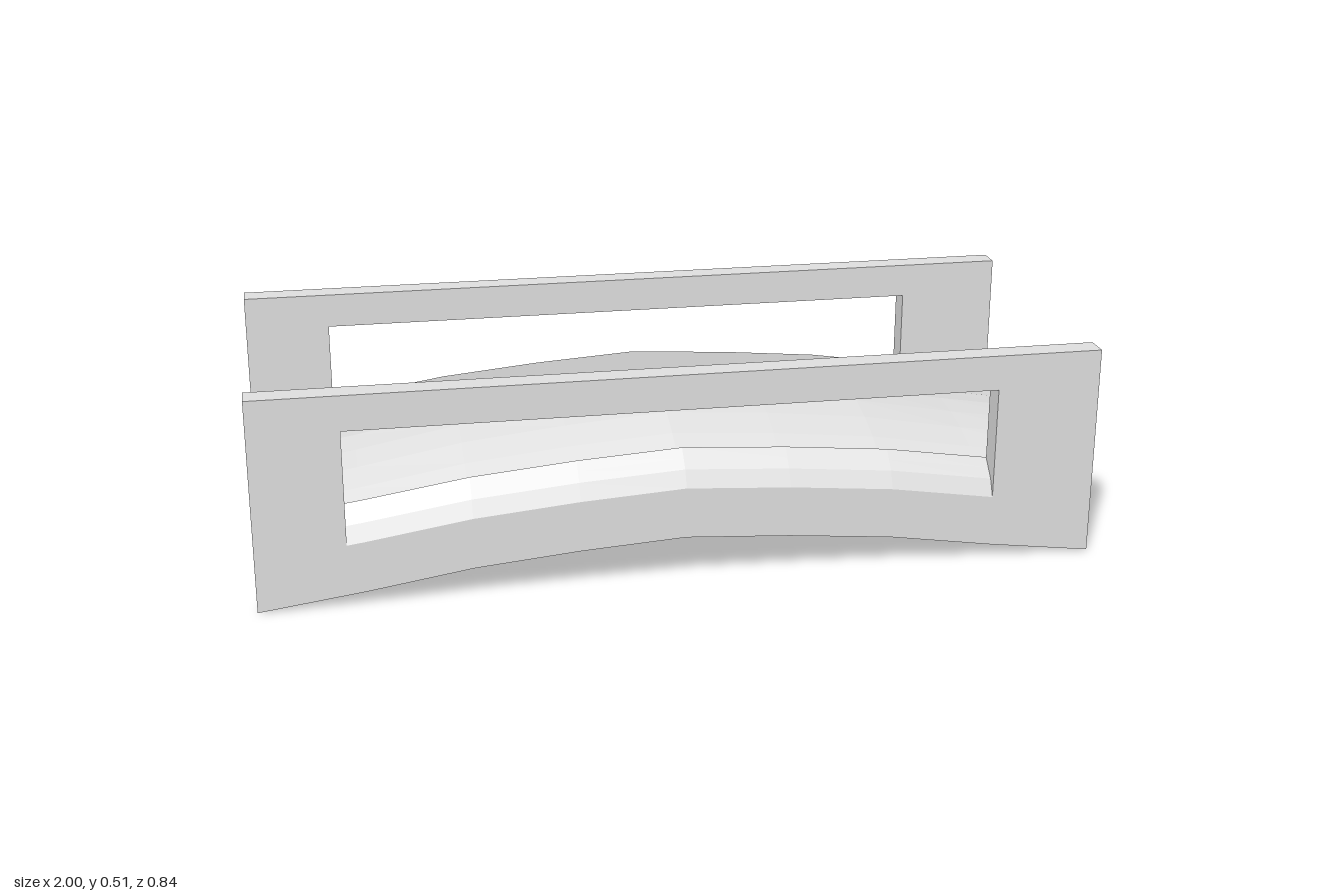
import * as THREE from 'three';

// Height of the long arch, as a fraction: 1 at mid-span, 0 at the ends
const STATIONS = [-1, -0.75, -0.5, -0.25, 0, 0.25, 0.5, 0.75, 1];
const RISE = [0, 0.3, 0.65, 0.86, 1, 0.86, 0.65, 0.3, 0];
function rise(x) {
  for (let i = 0; i < STATIONS.length - 1; i++) {
    if (x <= STATIONS[i + 1]) {
      const t = (x - STATIONS[i]) / (STATIONS[i + 1] - STATIONS[i]);
      return THREE.MathUtils.lerp(RISE[i], RISE[i + 1], t);
    }
  }
  return 0;
}

// The middle of the deck lifts a little more than its edges
const lift = (x, z) => rise(x) * (0.14 - 0.07 * Math.abs(z));

// Cross-section of the deck top at the ends: [z, y]
const HALF = [[0, 0.22], [0.083, 0.215], [0.163, 0.203], [0.238, 0.182], [0.305, 0.155], [0.36, 0.12]];
const ARCH = [...HALF.slice(1).reverse().map(([z, y]) => [-z, y]), ...HALF];
const RIM = 0.04;

// Flat-shaded sheet through rows of points
function sheet(rows) {
  const pos = [];
  for (let r = 0; r < rows.length - 1; r++) {
    for (let i = 0; i < rows[r].length - 1; i++) {
      const a = rows[r][i], b = rows[r][i + 1], c = rows[r + 1][i + 1], d = rows[r + 1][i];
      pos.push(...a, ...b, ...c, ...a, ...c, ...d);
    }
  }
  const geo = new THREE.BufferGeometry();
  geo.setAttribute('position', new THREE.Float32BufferAttribute(pos, 3));
  geo.computeVertexNormals();
  return geo;
}

// Hollow side wall, open at the foot, with a long window above a sloping sill
function wallGeometry(zStart) {
  const WALL_TOP = 0.515, LEFT = -0.79, RIGHT = 0.75, SILL = 0.124;
  const foot = x => lift(x, 0.42);
  const shape = new THREE.Shape();
  STATIONS.forEach((x, i) => {
    if (i) shape.lineTo(x, foot(x)); else shape.moveTo(x, foot(x));
  });
  shape.lineTo(1, WALL_TOP);
  shape.lineTo(-1, WALL_TOP);
  shape.closePath();

  const hole = new THREE.Path();
  hole.moveTo(LEFT, 0.43);
  for (const x of [LEFT, ...STATIONS.slice(1, -1)]) hole.lineTo(x, foot(x) + SILL);
  hole.lineTo(RIGHT, 0.43);
  hole.closePath();
  shape.holes.push(hole);

  const solid = new THREE.ExtrudeGeometry(shape, { depth: 0.06, steps: 3, bevelEnabled: false });
  solid.translate(0, 0, zStart);
  const p = solid.attributes.position;
  const pos = [];
  for (let i = 0; i < p.count; i += 3) {
    const tri = [0, 1, 2].map(k => [p.getX(i + k), p.getY(i + k), p.getZ(i + k)]);
    // Leave the underside of the foot open
    const crossesWall = tri.some(v => Math.abs(v[2] - tri[0][2]) > 0.001);
    if (crossesWall && tri.every(v => v[1] < 0.12)) continue;
    for (const [x, y, zSigned] of tri) {
      // Foot and sill curve up towards the deck
      const z = Math.abs(zSigned);
      const up = z > 0.4 ? (0.42 - z) * 2 : 0.04 + (0.4 - z);
      pos.push(x, y < 0.3 ? y + up : y, zSigned);
    }
  }
  const geo = new THREE.BufferGeometry();
  geo.setAttribute('position', new THREE.Float32BufferAttribute(pos, 3));
  geo.computeVertexNormals();
  return geo;
}

export function createModel() {
  const group = new THREE.Group();
  group.name = 'archedBridge';
  const stone = new THREE.MeshStandardMaterial({ color: 0xdfdfdf, side: THREE.DoubleSide });
  stone.name = 'pale grey';

  const add = (name, geo) => {
    const mesh = new THREE.Mesh(geo, stone);
    mesh.name = name;
    group.add(mesh);
  };

  // Deck sheet, its end rims and the rib under the crown
  const arc = (x, drop) => ARCH.map(([z, y]) => [x, y + lift(x, z) - drop, z]);
  add('deck', sheet(STATIONS.map(x => arc(x, 0))));
  add('leftRim', sheet([arc(1, 0), arc(1, RIM)]));
  add('rightRim', sheet([arc(-1, RIM), arc(-1, 0)]));
  add('crownRib', sheet(STATIONS.map(x => [0, RIM].map(drop => [x, 0.22 + lift(x, 0) - drop, 0]))));

  add('frontWall', wallGeometry(0.36));
  add('backWall', wallGeometry(-0.42));
  return group;
}
